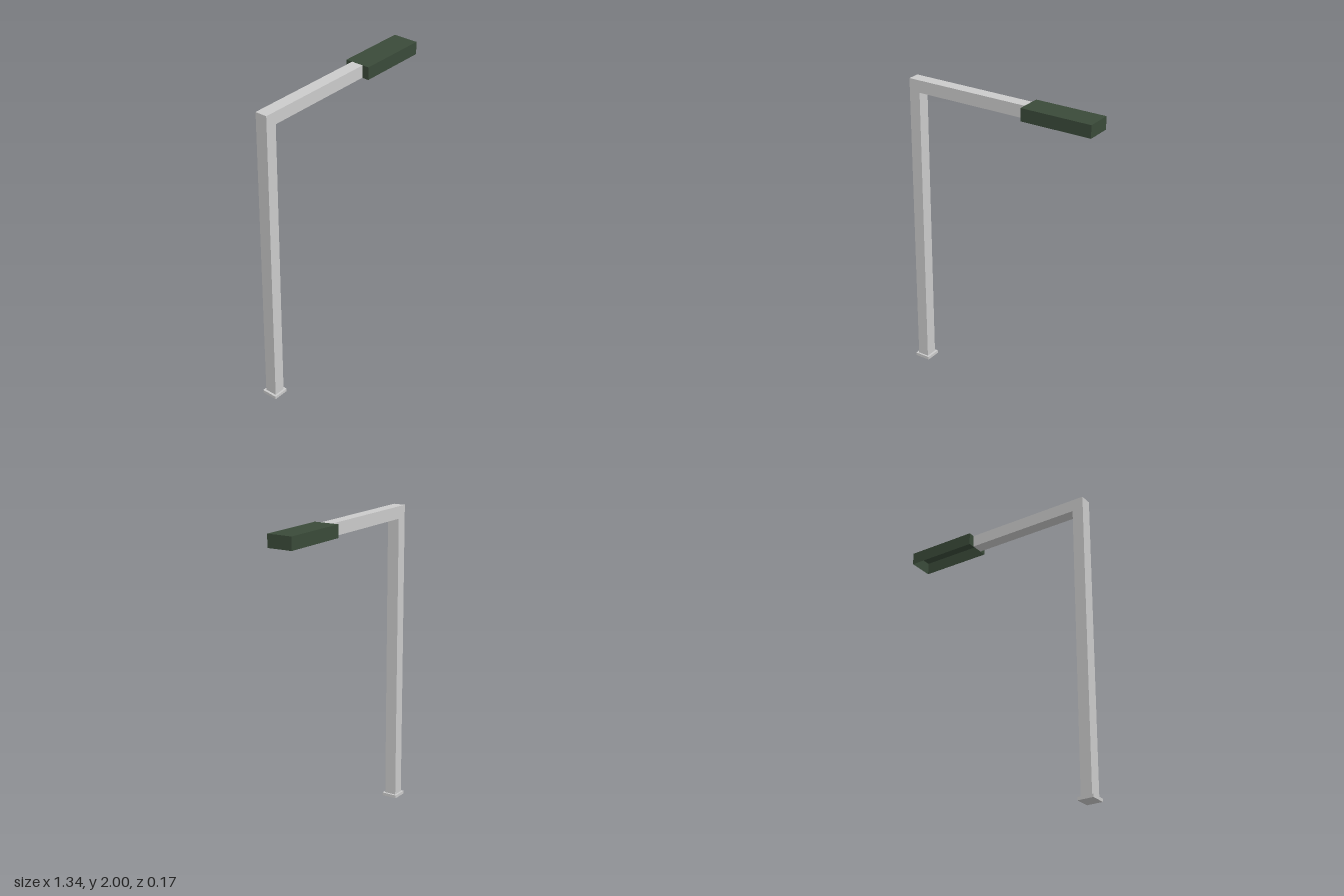
import * as THREE from 'three';

const LEFT = -0.655, RIGHT = 0.19, TOP = 2, BEAM = 0.08;

export function createModel() {
  const group = new THREE.Group();
  const grey = new THREE.MeshStandardMaterial({ color: 0xcccccc, flatShading: true });
  const green = new THREE.MeshStandardMaterial({ color: 0x3a4a39, flatShading: true, side: THREE.DoubleSide });

  const add = (name, geometry, material, x, y, z) => {
    const mesh = new THREE.Mesh(geometry, material);
    mesh.name = name;
    mesh.position.set(x, y, z);
    group.add(mesh);
  };

  // Square post and horizontal arm as one L-shaped beam
  const inner = LEFT + 0.075;
  const outline = new THREE.Shape([
    [LEFT, 0.02], [inner, 0.02], [inner, TOP - BEAM],
    [RIGHT, TOP - BEAM], [RIGHT, TOP], [LEFT, TOP],
  ].map(([x, y]) => new THREE.Vector2(x, y)));
  add('postAndArm', new THREE.ExtrudeGeometry(outline, { depth: BEAM, bevelEnabled: false }),
    grey, 0, 0, -BEAM / 2);

  // Foot plate
  add('basePlate', new THREE.BoxGeometry(0.105, 0.02, 0.105), grey, (LEFT + inner) / 2, 0.01, 0);

  // Thin lamp cover, a box without its bottom face
  const cover = new THREE.BoxGeometry(0.475, BEAM + 0.002, 0.168);
  const index = Array.from(cover.index.array);
  index.splice(18, 6);
  cover.setIndex(index);
  cover.clearGroups();
  add('lampCover', cover, green, RIGHT + 0.2375, TOP - BEAM / 2 - 0.001, 0);

  return group;
}
